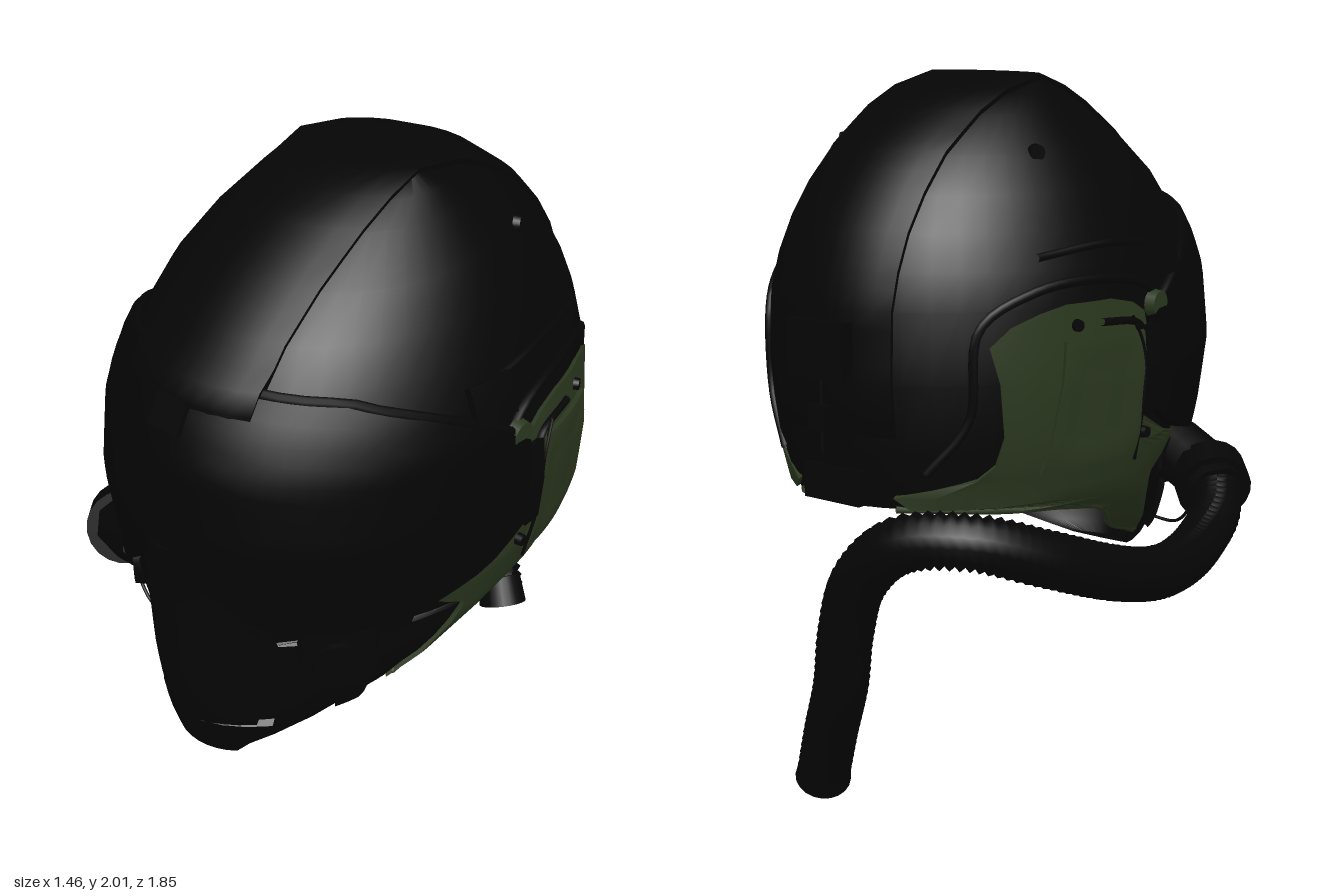
import * as THREE from 'three';
import { toCreasedNormals } from 'three/addons/utils/BufferGeometryUtils.js';

const CX = 0.12;
// Helmet body: [height, half width, front z, back z, how pointed the front is (1 = round)]
const ROWS = [
  [0.41, 0.13, 0.8, 0.62, 1], [0.5, 0.25, 0.83, 0.3, 1.1], [0.6, 0.36, 0.85, 0, 1.2], [0.7, 0.44, 0.86, -0.25, 1.25],
  [0.84, 0.51, 0.86, -0.56, 1.25], [1, 0.56, 0.86, -0.6, 1.12], [1.2, 0.58, 0.89, -0.615, 1], [1.4, 0.565, 0.87, -0.61, 1],
  [1.5, 0.54, 0.83, -0.585, 1], [1.6, 0.5, 0.77, -0.545, 1], [1.7, 0.455, 0.69, -0.48, 1], [1.8, 0.39, 0.57, -0.395, 1],
  [1.9, 0.3, 0.42, -0.26, 1], [1.95, 0.25, 0.32, -0.15, 1], [1.985, 0.2, 0.2, 0.03, 1],
];
// Lower rim of the jaw: [height, z]
const RIM = [[0.41, 0.76], [0.5, 0.6], [0.6, 0.4], [0.67, 0.2], [0.77, 0.05], [0.82, -0.3], [0.84, -0.56]];

function lookup(table, k) {
  if (k <= table[0][0]) return table[0];
  for (let i = 1; i < table.length; i++) {
    if (k <= table[i][0]) {
      const a = table[i - 1], b = table[i], t = (k - a[0]) / (b[0] - a[0]);
      return a.map((v, n) => v + (b[n] - v) * t);
    }
  }
  return table[table.length - 1];
}
const rad = THREE.MathUtils.degToRad;
const HEART = new THREE.Vector3(CX, 1.15, 0.13);

// Point on the body at an angle from the front, pushed outward by off
function body(angle, y, off = 0, point = lookup(ROWS, y)[4]) {
  const [, w, zf, zb] = lookup(ROWS, y);
  const s = Math.sin(angle), c = Math.cos(angle), e = c > 0 ? point : 1;
  const p = new THREE.Vector3(CX + w * Math.sign(s) * Math.abs(s) ** e, y,
    (zf + zb) / 2 + (zf - zb) / 2 * Math.sign(c) * Math.abs(c) ** e);
  return p.addScaledVector(p.clone().sub(HEART).normalize(), off);
}
function angleAtZ(y, z) {
  const [, , zf, zb, e] = lookup(ROWS, y);
  const t = THREE.MathUtils.clamp((z - (zf + zb) / 2) / ((zf - zb) / 2), -1, 1);
  return Math.acos(t > 0 ? t ** (1 / e) : t);
}
const range = (n, a = 0, b = 1) => Array.from({ length: n + 1 }, (_, i) => a + (b - a) * i / n);

// Grid surface through fn(u, v, onEdge)
function sheet(us, vs, fn) {
  const pos = [], idx = [], n = us.length;
  vs.forEach((v, j) => us.forEach((u, i) => {
    const edge = i === 0 || j === 0 || i === n - 1 || j === vs.length - 1;
    pos.push(...fn(u, v, edge).toArray());
    if (i && j) {
      const d = j * n + i, c = d - 1, b = d - n, a = b - 1;
      idx.push(a, b, d, a, d, c);
    }
  }));
  const g = new THREE.BufferGeometry();
  g.setAttribute('position', new THREE.Float32BufferAttribute(pos, 3));
  g.setIndex(idx);
  return toCreasedNormals(g, 0.6);
}
// Raised plate: the doubled outer ring closes its edges
const plate = (nu, nv, fn) => sheet([0, ...range(nu), 1], [0, ...range(nv), 1], fn);

export function createModel() {
  const group = new THREE.Group();
  const paint = (name, color) => {
    const m = new THREE.MeshStandardMaterial({ color, side: THREE.DoubleSide });
    m.name = name;
    return m;
  };
  const black = paint('shell black', 0x050505);
  const dark = paint('visor black', 0x040404);
  const rubber = paint('rubber black', 0x050506);
  const green = paint('olive green', 0x2b381f);
  const add = (name, geo, mat, pos) => {
    const m = new THREE.Mesh(geo, mat);
    m.name = name;
    if (pos) m.position.set(...pos);
    group.add(m);
    return m;
  };
  const tube = (name, pts, r, mat) => add(name,
    new THREE.TubeGeometry(new THREE.CatmullRomCurve3(pts), 32, r, 8), mat);
  const outward = angle => new THREE.Vector3(Math.sin(angle), 0, Math.cos(angle));
  // Round fitting standing on the body
  const disc = (name, angle, y, r, h, mat, off = 0) => {
    const m = add(name, new THREE.CylinderGeometry(r * 0.9, r, h, 20), mat, body(angle, y, off).toArray());
    m.quaternion.setFromUnitVectors(new THREE.Vector3(0, 1, 0), outward(angle));
  };

  // Shell, closed at the crown and open at the neck
  const ys = ROWS.map(r => r[0]);
  add('shell', sheet(range(48, -Math.PI, Math.PI), [...ys.filter(y => y >= 0.84), 3], (a, y) =>
    y < 3 ? body(a, y) : new THREE.Vector3(CX, 1.988, 0.12)), black);

  // Mask and jaw, hollow and cut off at the sloping rim
  const rimAngle = y => angleAtZ(y, lookup(RIM, y)[1]);
  add('mask', sheet(range(36, -1, 1), [0, 0.41, 0.45, 0.5, 0.55, 0.6, 0.67, 0.72, 0.77, 0.8, 0.82, 0.84], (u, y) =>
    y ? body(u * rimAngle(y), y) : new THREE.Vector3(CX, 0.405, 0.77)), rubber);
  // Hose opening inside the right cheek
  const cheek = angleAtZ(0.82, 0.6);
  const port = add('innerPort', new THREE.TorusGeometry(0.11, 0.012, 8, 24), rubber, body(-cheek, 0.82, -0.02).toArray());
  port.quaternion.setFromUnitVectors(new THREE.Vector3(0, 0, 1), outward(-cheek));

  // Raised nose of the mask: [height, half width]
  const nose = [[0.43, 0.12], [0.55, 0.18], [0.8, 0.24], [0.95, 0.2], [1.08, 0.09], [1.16, 0.05]];
  add('maskNose', plate(10, 14, (u, v, edge) => {
    const y = 0.43 + v * 0.73, [, w] = lookup(nose, y), [, bw, , , e] = lookup(ROWS, y);
    const a = Math.asin(Math.min(1, w / bw) ** (1 / e)) * (2 * u - 1);
    return body(a, y, edge ? 0 : 0.012 + 0.018 * v + 0.01 * (1 - Math.abs(2 * u - 1)));
  }), rubber);
  add('chinBlock', plate(8, 3, (u, v, edge) =>
    body((2 * u - 1) * 0.8, 0.43 + v * 0.12, edge ? 0 : 0.022)), rubber);

  // Visor bounds: [angle, lower edge, upper edge]
  const visor = [[0, 1.14, 1.6], [12, 1.05, 1.6], [25, 0.95, 1.59], [45, 0.92, 1.57], [65, 0.94, 1.5],
    [80, 1.0, 1.42], [91, 1.08, 1.33]];
  add('visor', plate(40, 14, (u, v, edge) => {
    const deg = (2 * u - 1) * 91, [, lo, hi] = lookup(visor, Math.abs(deg)), y = lo + (hi - lo) * v;
    return edge ? body(rad(deg), y) : body(rad(deg), y, 0.03, 1);
  }), dark);
  tube('visorRim', range(24, -91, 91).map(d => body(rad(d), lookup(visor, Math.abs(d))[2] + 0.01, 0.012)), 0.014, black);

  // Centre band running over the crown: [height, front or back]
  const path = [...range(9, 1.5, 1.95).map(y => [y, 1]), [1.985, 1], [1.985, -1],
    ...range(18, 1.95, 1.05).map(y => [y, -1])];
  add('crownBand', sheet([-0.2, ...range(8, -0.2, 0.2), 0.2], path.map((_, k) => k), (x, k, edge) => {
    const [y, side] = path[k], w = lookup(ROWS, y)[1];
    const a = Math.asin(THREE.MathUtils.clamp(x / w, -1, 1));
    return body(side > 0 ? a : Math.PI - a, y, edge ? 0 : y < 1.62 && side > 0 ? 0.036 : 0.015);
  }), black);
  add('bandLatch', new THREE.BoxGeometry(0.1, 0.09, 0.03), black, [CX, 1.53, 0.845]).rotation.x = -0.5;

  // Side panel outline: [height, front z, back z]
  const panel = [[0.59, 0.41, 0.4], [0.67, 0.35, 0.2], [0.77, 0.28, 0.05], [0.82, 0.26, -0.25], [0.845, 0.26, -0.5],
    [0.88, 0.33, -0.53], [0.93, 0.41, -0.4], [0.97, 0.27, -0.37], [1.05, 0.1, -0.36], [1.2, 0.09, -0.38],
    [1.3, 0.1, -0.4], [1.35, 0.09, -0.35], [1.38, 0.04, -0.28], [1.4, -0.05, -0.2]];
  const panelYs = panel.map(r => r[0]);
  for (const s of [1, -1]) {
    const at = (y, z, off) => body(s * angleAtZ(y, z), y, off);
    const side = s > 0 ? 'left' : 'right';
    // Outer panel, its inner face and the rolled lower rim
    for (const [part, off] of [['SidePanel', 0.014], ['PanelLining', -0.006]]) {
      add(side + part, sheet([0, ...range(14), 1], [0.59, ...panelYs, 1.4], (u, y, edge) => {
        const [, f, b] = lookup(panel, y);
        return at(y, f + (b - f) * u, edge && off > 0 ? 0 : off);
      }), green);
    }
    tube(side + 'PanelRim', RIM.slice(2).map(([y, z]) => at(y, Math.max(z, -0.52), 0.004)), 0.01, green);
    add(side + 'EarPad', plate(10, 10, (u, v, edge) => {
      const inset = Math.min(u, 1 - u, v, 1 - v);
      return at(0.94 + v * 0.36, 0.07 - u * (0.28 + 0.04 * (1 - v)), edge ? 0.01 : inset < 0.15 ? 0.03 : 0.02);
    }), green);
    // Hinge, slot, knob and screws
    add(side + 'VisorHinge', plate(4, 8, (u, v, edge) =>
      at(1.07 + v * 0.24, 0.13 - u * 0.06, edge ? 0 : 0.036)), black);
    tube(side + 'PanelSlot', [[1.28, 0.08], [1.32, 0.05], [1.34, -0.09]].map(([y, z]) => at(y, z, 0.02)), 0.011, black);
    disc(side + 'Knob', s * angleAtZ(1.36, 0.15), 1.36, 0.042, 0.03, green, 0.015);
    disc(side + 'UpperScrew', s * angleAtZ(1.34, -0.17), 1.34, 0.018, 0.02, black, 0.018);
    disc(side + 'LowerScrew', s * angleAtZ(1.0, 0.11), 1.0, 0.018, 0.02, black, 0.018);
    tube(side + 'Cable', [[1.34, 0.02], [1.25, 0.06], [1.1, 0.07], [0.93, 0.08]].map(([y, z]) => at(y, z, 0.03)), 0.005, black);
    // Shell trim
    tube(side + 'EarTrim', [[1.37, 0.18], [1.43, 0.1], [1.46, -0.1], [1.44, -0.28], [1.35, -0.42], [1.1, -0.44], [0.95, -0.5]]
      .map(([y, z]) => at(y, z, 0.002)), 0.014, black);
    tube(side + 'ShellRib', [[1.53, 0.2], [1.55, 0], [1.53, -0.25]].map(([y, z]) => at(y, z, 0.002)), 0.012, black);
    add(side + 'VisorBracket', plate(5, 3, (u, v, edge) =>
      at(1.43 + v * 0.11, 0.3 - u * 0.14, edge ? 0 : 0.028)), black);
    disc(side + 'ShellScrew', s * angleAtZ(1.8, -0.12), 1.8, 0.025, 0.02, black);
    // Mask straps and clips
    add(side + 'MaskStrap', plate(6, 3, (u, v, edge) =>
      at(0.8 + v * 0.08, 0.62 - u * 0.2, edge ? 0 : 0.014)), rubber);
    add(side + 'MaskClip', plate(3, 5, (u, v, edge) =>
      at(0.58 + v * 0.16, 0.58 - u * 0.07, edge ? 0 : 0.02)), rubber);
  }

  // Cheek valves
  disc('leftValve', cheek, 0.82, 0.115, 0.09, rubber, 0.02);
  disc('leftValveCap', cheek, 0.82, 0.075, 0.06, rubber, 0.055);
  disc('rightValve', -cheek, 0.83, 0.12, 0.1, rubber, 0.03);

  // Rear clips
  add('rearClip', new THREE.BoxGeometry(0.2, 0.16, 0.06), black, [CX, 1.29, -0.632]);
  add('rearBuckle', new THREE.BoxGeometry(0.06, 0.07, 0.03), black, [CX, 1.1, -0.64]);
  add('rearCord', new THREE.CylinderGeometry(0.006, 0.006, 0.24, 6), black, [CX, 1.12, -0.635]);
  add('napeStrap', new THREE.BoxGeometry(0.2, 0.1, 0.05), black, [CX, 0.9, -0.575]);

  // Elbow from the right cheek to the hose
  const V = (x, y, z) => new THREE.Vector3(x, y, z);
  tube('hoseElbow', [V(-0.25, 0.83, 0.6), V(-0.33, 0.8, 0.575), V(-0.41, 0.77, 0.545), V(-0.49, 0.73, 0.48)], 0.1, rubber);
  const collar = add('hoseCollar', new THREE.CylinderGeometry(0.115, 0.115, 0.1, 20), rubber, [-0.44, 0.755, 0.53]);
  collar.quaternion.setFromUnitVectors(V(0, 1, 0), V(-0.65, -0.3, -0.7).normalize());
  tube('maskWire', [V(-0.34, 0.76, 0.55), V(-0.35, 0.68, 0.58), V(-0.28, 0.58, 0.6), V(-0.17, 0.58, 0.6)], 0.005, black);

  // Corrugated hose
  const curve = new THREE.CatmullRomCurve3([V(-0.46, 0.74, 0.53), V(-0.52, 0.69, 0.42), V(-0.56, 0.65, 0.27), V(-0.6, 0.64, 0.1),
    V(-0.635, 0.66, -0.1), V(-0.645, 0.725, -0.34), V(-0.6, 0.82, -0.59), V(-0.49, 0.885, -0.76), V(-0.33, 0.87, -0.84),
    V(-0.19, 0.75, -0.84), V(-0.1, 0.57, -0.8), V(-0.04, 0.4, -0.755), V(0.05, 0.22, -0.7), V(0.12, 0.07, -0.655)]);
  const N = 180, hose = new THREE.TubeGeometry(curve, N, 0.07, 14);
  const pos = hose.attributes.position, q = new THREE.Vector3();
  for (let i = 0; i < pos.count; i++) {
    const ring = Math.floor(i / 15), c = curve.getPointAt(ring / N);
    q.fromBufferAttribute(pos, i).sub(c).multiplyScalar(ring % 2 ? 1.1 : 0.92).add(c);
    pos.setXYZ(i, q.x, q.y, q.z);
  }
  hose.computeVertexNormals();
  add('hose', hose, rubber);
  const end = add('hoseEnd', new THREE.CylinderGeometry(0.08, 0.07, 0.1, 20), rubber, [0.122, 0.077, -0.65]);
  end.quaternion.setFromUnitVectors(V(0, 1, 0), V(0.4, -0.87, 0.27).normalize());
  return group;
}
